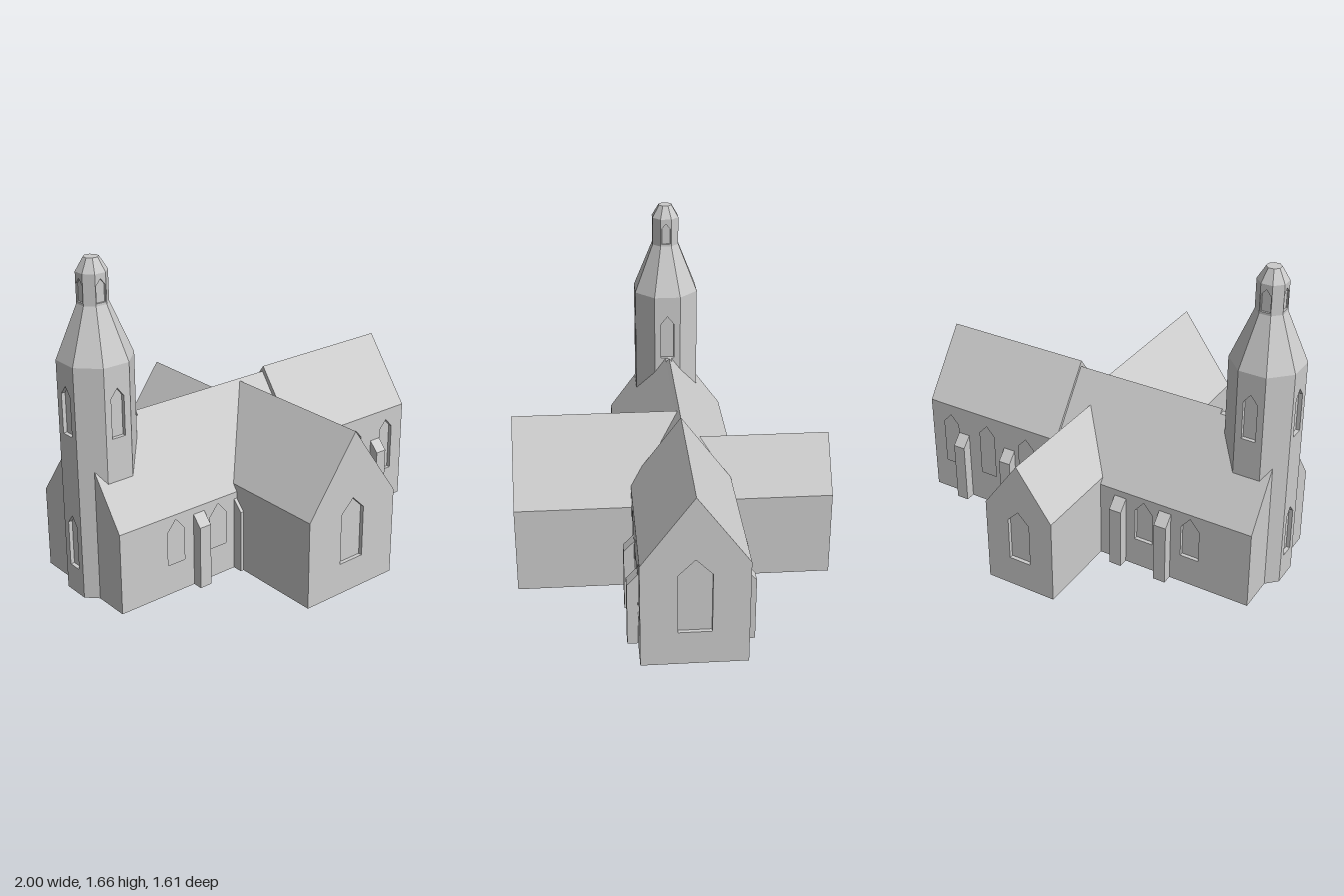
import * as THREE from 'three';

const stone = new THREE.MeshStandardMaterial({ color: 0xcccccc });
stone.name = 'pale stone';

const D = 0.02; // depth of the window recesses

function mesh(name, geometry) {
  const m = new THREE.Mesh(geometry, stone);
  m.name = name;
  return m;
}

const shapeOf = (pts) => new THREE.Shape(pts.map(([x, y]) => new THREE.Vector2(x, y)));

function extrude(shape, depth) {
  return new THREE.ExtrudeGeometry(shape, { depth, bevelEnabled: false });
}

// Wall slab pierced by pointed windows: { x, w, y0, y1 (shoulder), y2 (tip) }
function wall(name, outline, windows, depth = D) {
  const shape = shapeOf(outline);
  for (const { x, w, y0, y1, y2 } of windows) {
    const h = w / 2;
    shape.holes.push(new THREE.Path(
      [[x - h, y0], [x - h, y1], [x, y2], [x + h, y1], [x + h, y0]].map(([a, b]) => new THREE.Vector2(a, b))));
  }
  return mesh(name, extrude(shape, depth));
}

// Gabled wing running along local +z, with the gable wall at its far end
function wing({ name, x, z, turn, w, length, eave, ridge, flat = 0, gableWindows = [], sideWindows = [], buttresses = [] }) {
  const g = new THREE.Group();
  g.name = name;
  const h = w / 2, L = length - D;
  const top = flat ? [[flat, ridge], [-flat, ridge]] : [[0, ridge]];

  // Roof and inner body in one section, the roof reaching over the side walls
  const section = [[-h + D, 0], [h - D, 0], [h - D, eave], [h, eave], ...top, [-h, eave], [-h + D, eave]];
  g.add(mesh('roofAndCore', extrude(shapeOf(section), L)));

  const gable = wall('gableWall', [[-h, 0], [h, 0], [h, eave], ...top, [-h, eave]], gableWindows);
  gable.position.z = L;
  g.add(gable);

  for (const side of [1, -1]) {
    const end = -side * L;
    const slab = wall('sideWall', [[0, 0], [end, 0], [end, eave], [0, eave]],
      sideWindows.map((o) => ({ ...o, x: -side * o.x })));
    slab.rotation.y = side * Math.PI / 2;
    slab.position.x = side * (h - D);
    g.add(slab);

    for (const s of buttresses) {
      const geo = extrude(shapeOf([[-0.01, 0], [0.052, 0], [0.052, 0.33], [0, 0.385], [-0.01, 0.385]]), 0.066);
      geo.translate(0, 0, -0.033);
      const b = mesh('buttress', geo);
      b.position.set(side * h, 0, s);
      b.rotation.y = side > 0 ? 0 : Math.PI;
      g.add(b);
    }
  }
  g.position.set(x, 0, z);
  g.rotation.y = turn;
  return g;
}

// Eight-sided frustum with flat faces square to the axes; sizes are apothems
function octagon(name, aTop, aBottom, y0, y1) {
  const k = 1 / Math.cos(Math.PI / 8);
  const geo = new THREE.CylinderGeometry(aTop * k, aBottom * k, y1 - y0, 8).toNonIndexed();
  geo.rotateY(Math.PI / 8);
  geo.translate(0, (y0 + y1) / 2, 0);
  geo.computeVertexNormals();
  return mesh(name, geo);
}

// Eight-sided storey with windows chosen per face
function storey(name, a, y0, y1, depth, windowsFor) {
  const g = new THREE.Group();
  g.name = name;
  g.add(octagon('core', a - depth, a - depth, y0, y1));
  const s = a * Math.tan(Math.PI / 8);
  for (let i = 0; i < 8; i++) {
    const face = new THREE.Group();
    face.name = 'face';
    const slab = wall('wall', [[-s, y0], [s, y0], [s, y1], [-s, y1]], windowsFor(i), depth);
    slab.position.z = a - depth;
    face.rotation.y = i * Math.PI / 4;
    face.add(slab);
    g.add(face);
  }
  return g;
}

export function createModel() {
  const church = new THREE.Group();
  church.name = 'church';

  const naveWindow = { w: 0.1, y0: 0.16, y1: 0.335, y2: 0.395 };
  const choirWindow = { w: 0.092, y0: 0.18, y1: 0.43, y2: 0.48 };

  // Nave, its ridge left flat beside the tower and capped elsewhere
  const nave = wing({
    name: 'nave', x: 0.2, z: -0.04, turn: -Math.PI / 2, w: 0.635, length: 1.145,
    eave: 0.42, ridge: 0.833, flat: 0.016,
    sideWindows: [0.82, 0.56].map((x) => ({ ...naveWindow, x })),
    buttresses: [0.68, 0.425],
  });
  nave.add(mesh('ridgeCap', extrude(shapeOf([[-0.016, 0.833], [0.016, 0.833], [0, 0.855]]), 0.81)));
  church.add(nave);

  church.add(wing({
    name: 'choir', x: 0.2, z: -0.035, turn: Math.PI / 2, w: 0.51, length: 0.8, eave: 0.54, ridge: 0.885,
    gableWindows: [{ x: 0, w: 0.16, y0: 0.175, y1: 0.485, y2: 0.565 }],
    sideWindows: [0.19, 0.44, 0.675].map((x) => ({ ...choirWindow, x })),
    buttresses: [0.297, 0.593],
  }));

  church.add(wing({
    name: 'frontTransept', x: 0.04, z: -0.03, turn: 0, w: 0.56, length: 0.835, eave: 0.455, ridge: 0.845,
    gableWindows: [{ x: 0, w: 0.145, y0: 0.165, y1: 0.43, y2: 0.5 }],
  }));

  church.add(wing({
    name: 'backTransept', x: 0.08, z: -0.1, turn: Math.PI, w: 0.38, length: 0.705, eave: 0.45, ridge: 0.715,
    gableWindows: [{ x: 0, w: 0.12, y0: 0.16, y1: 0.39, y2: 0.45 }],
  }));

  // Tower: shaft, spire, lantern and cap
  const tower = new THREE.Group();
  tower.name = 'tower';
  tower.position.set(-0.83, 0, -0.035);
  const bell = { x: 0, w: 0.072, y0: 0.835, y1: 1.035, y2: 1.08 };
  const low = { x: 0, w: 0.072, y0: 0.14, y1: 0.37, y2: 0.415 };
  tower.add(storey('shaft', 0.17, 0, 1.19, D, (i) => (i % 2 ? [] : i === 6 ? [bell, low] : [bell])));
  tower.add(octagon('spire', 0.07, 0.17, 1.19, 1.45));
  const opening = { x: 0, w: 0.05, y0: 1.462, y1: 1.545, y2: 1.575 };
  tower.add(storey('lantern', 0.07, 1.45, 1.6, 0.01, (i) => (i % 2 ? [] : [opening])));
  tower.add(octagon('cap', 0.034, 0.07, 1.6, 1.665));
  church.add(tower);

  return church;
}
